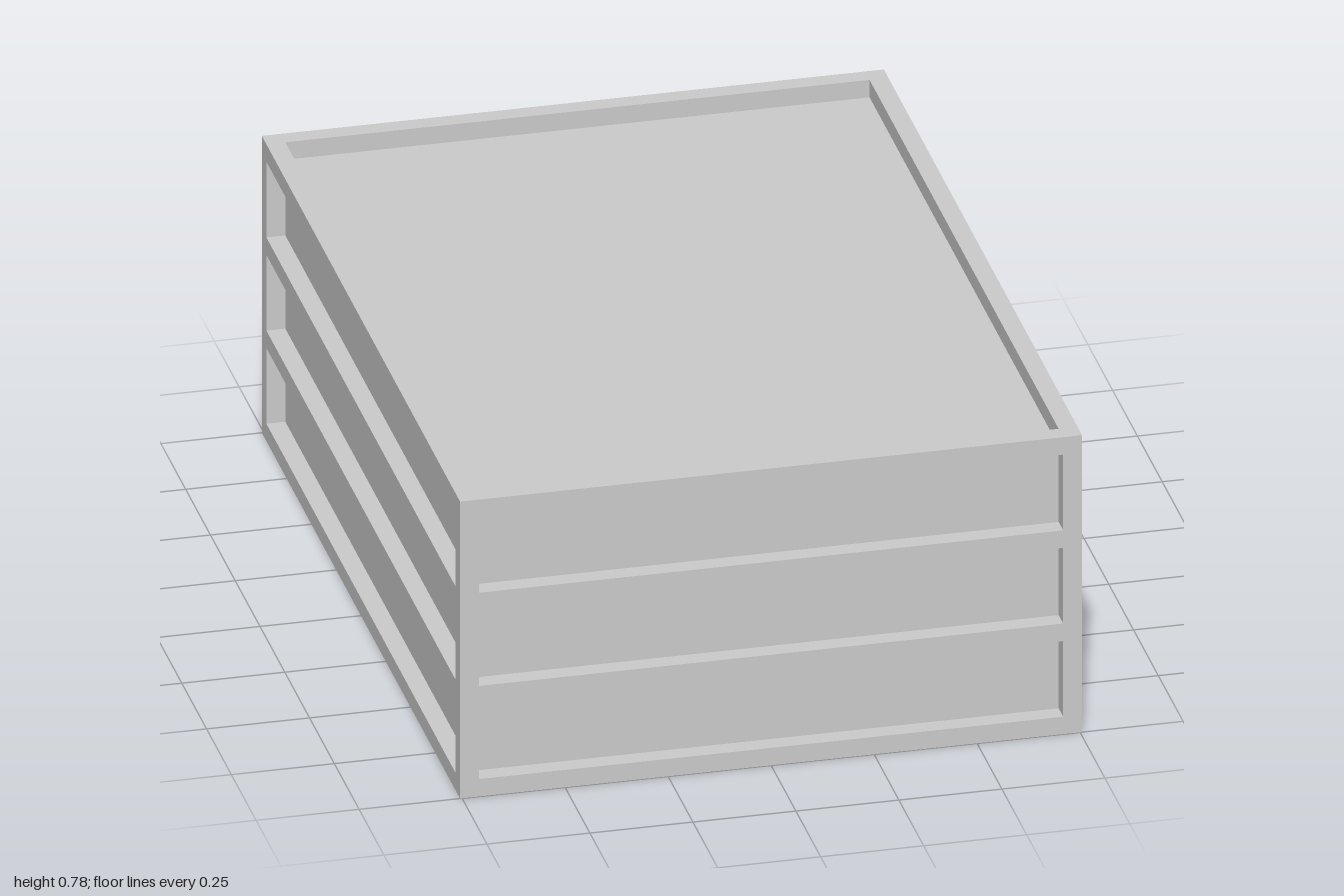
import * as THREE from 'three';

const W = 1.51, H = 0.782, D = 2; // overall size
const BAR = 0.046;                // square frame bar
const ROWS = 3;                   // panel rows on every side

export function createModel() {
  const model = new THREE.Group();
  model.name = 'panelledCrate';
  const material = new THREE.MeshStandardMaterial({ color: 0xcccccc, flatShading: true });

  function box(name, size, position) {
    const mesh = new THREE.Mesh(new THREE.BoxGeometry(...size), material);
    mesh.name = name;
    mesh.position.set(...position);
    model.add(mesh);
  }

  // Body whose faces form the recessed panels, lid and base
  box('panelBody', [W - 2 * BAR, H - 2 * BAR, D - 2 * BAR], [0, H / 2, 0]);

  const px = (W - BAR) / 2, pz = (D - BAR) / 2;

  // Corner posts
  for (const sx of [-1, 1]) {
    for (const sz of [-1, 1]) box('cornerPost', [BAR, H, BAR], [sx * px, H / 2, sz * pz]);
  }

  // Horizontal rails between the posts: bottom, two middle levels and top
  for (let i = 0; i <= ROWS; i++) {
    const y = BAR / 2 + (i * (H - BAR)) / ROWS;
    for (const s of [-1, 1]) {
      box(s > 0 ? 'frontRail' : 'backRail', [W - 2 * BAR, BAR, BAR], [0, y, s * pz]);
      box(s > 0 ? 'leftRail' : 'rightRail', [BAR, BAR, D - 2 * BAR], [s * px, y, 0]);
    }
  }

  return model;
}
